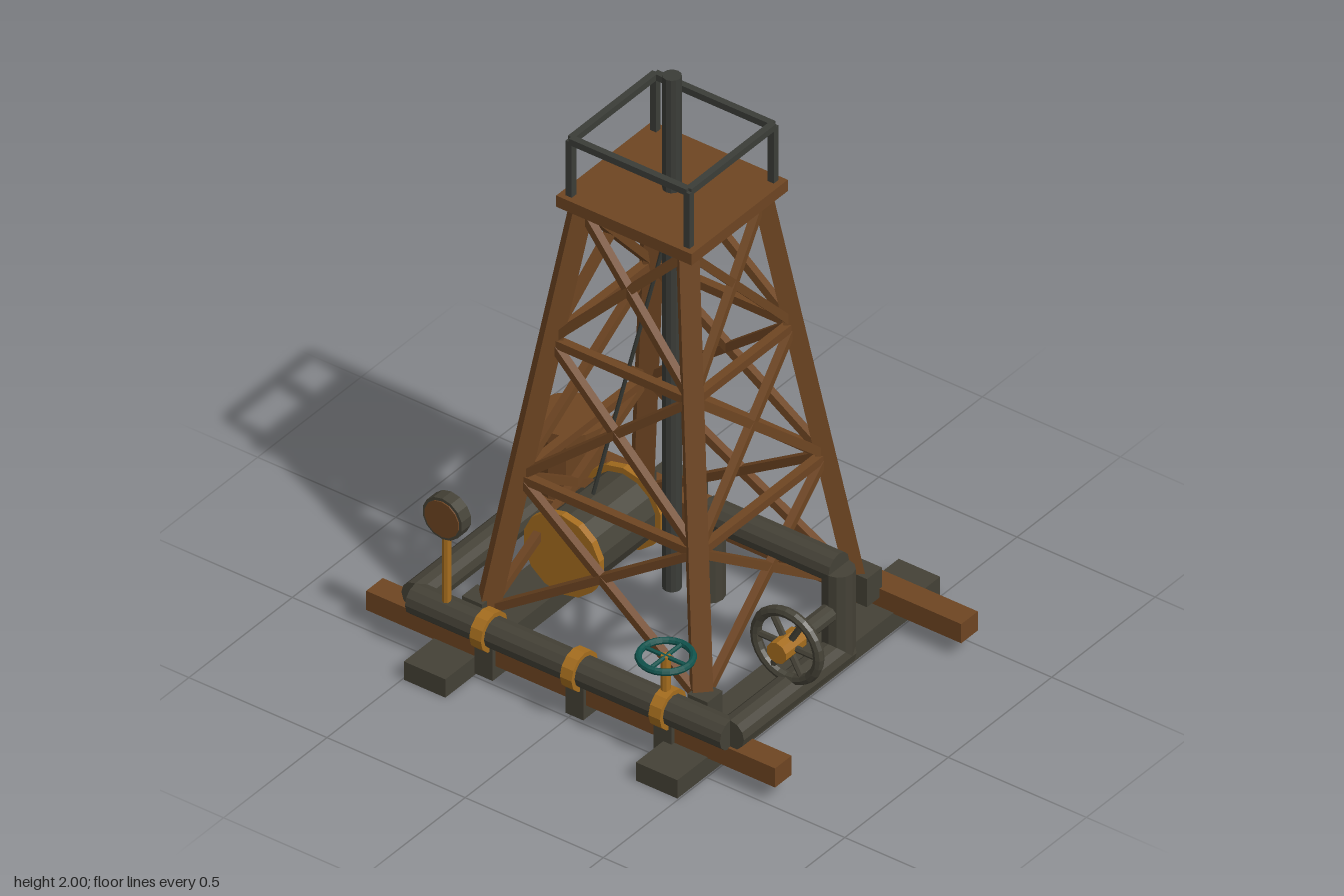
import * as THREE from 'three';

const mat = (name, color) => {
  const m = new THREE.MeshStandardMaterial({ color, flatShading: true });
  m.name = name;
  return m;
};

export function createModel() {
  const wood = mat('wood', 0x6e4522);
  const iron = mat('iron', 0x444136);
  const steel = mat('steel', 0x3b3d38);
  const brass = mat('brass', 0xa56d1e);
  const teal = mat('teal', 0x0f524c);

  const model = new THREE.Group();
  model.name = 'drillingDerrick';
  const V = (x, y, z) => new THREE.Vector3(x, y, z);

  const add = (parent, name, geo, m, x = 0, y = 0, z = 0) => {
    const mesh = new THREE.Mesh(geo, m);
    mesh.name = name;
    mesh.position.set(x, y, z);
    parent.add(mesh);
    return mesh;
  };
  const box = (name, m, w, h, d, x, y, z, parent = model) =>
    add(parent, name, new THREE.BoxGeometry(w, h, d), m, x, y, z);

  // Square timber between two points
  const bar = (name, m, a, b, w, h = w, parent = model) => {
    const mid = a.clone().add(b).multiplyScalar(0.5);
    const mesh = box(name, m, w, h, a.distanceTo(b), mid.x, mid.y, mid.z, parent);
    mesh.lookAt(b);
    return mesh;
  };
  // Round rod or pipe between two points
  const rod = (name, m, a, b, r, sides = 12, parent = model) => {
    const mid = a.clone().add(b).multiplyScalar(0.5);
    const mesh = add(parent, name, new THREE.CylinderGeometry(r, r, a.distanceTo(b), sides), m, mid.x, mid.y, mid.z);
    mesh.quaternion.setFromUnitVectors(V(0, 1, 0), b.clone().sub(a).normalize());
    return mesh;
  };
  // Spoked hand wheel lying in its own xy plane
  const wheel = (name, m, R, r, spokes, spokeR) => {
    const g = new THREE.Group();
    g.name = name;
    add(g, name + 'Rim', new THREE.TorusGeometry(R, r, 8, 24), m);
    for (let i = 0; i < spokes; i++) {
      const t = (i / spokes) * Math.PI * 2;
      rod(name + 'Spoke', m, V(0, 0, 0), V(Math.cos(t) * R, Math.sin(t) * R, 0), spokeR, 6, g);
    }
    model.add(g);
    return g;
  };

  // Ground skids and cross beams
  for (const s of [-1, 1]) {
    box('skid', iron, 0.15, 0.065, 1.27, s * 0.42, 0.0325, 0);
    box('baseBeam', wood, 1.48, 0.068, 0.08, 0, 0.095, s * 0.45);
  }

  // Tower legs taper towards the platform
  const tower = new THREE.Group();
  tower.name = 'tower';
  model.add(tower);
  const corner = (sx, sz, y) => {
    const t = (y - 0.1) / 1.47;
    return V(sx * (0.395 - 0.205 * t), y, sz * (0.38 - 0.202 * t));
  };
  const ring = [[1, 1], [1, -1], [-1, -1], [-1, 1]];
  for (const [sx, sz] of ring) {
    bar('leg', wood, corner(sx, sz, 0.1), corner(sx, sz, 1.57), 0.06, 0.06, tower);
    box('legShoe', iron, 0.073, 0.1, 0.073, sx * 0.408, 0.148, sz * 0.385, tower);
  }

  // Horizontal girts and crossed braces on all four faces
  const levels = [0.15, 0.615, 1.09, 1.55];
  ring.forEach((p, i) => {
    const q = ring[(i + 1) % 4];
    levels.forEach((y, k) => {
      if (k === 1 || k === 2) bar('girt', wood, corner(...p, y), corner(...q, y), 0.028, 0.028, tower);
      if (k < 3) {
        bar('brace', wood, corner(...p, y), corner(...q, levels[k + 1]), 0.026, 0.026, tower);
        bar('brace', wood, corner(...q, y), corner(...p, levels[k + 1]), 0.026, 0.026, tower);
      }
    });
  });

  // Platform with guard rail
  box('platform', wood, 0.49, 0.04, 0.465, 0, 1.58, 0);
  ring.forEach(([sx, sz], i) => {
    const [qx, qz] = ring[(i + 1) % 4];
    box('railPost', steel, 0.022, 0.2, 0.022, sx * 0.213, 1.695, sz * 0.204);
    bar('topRail', steel, V(sx * 0.213, 1.795, sz * 0.204), V(qx * 0.213, 1.795, qz * 0.204), 0.022);
  });

  // Drill string and hoist cable
  rod('drillString', steel, V(0, 0.18, 0), V(0, 2, 0), 0.029, 12);
  rod('hoistCable', steel, V(-0.285, 0.39, 0), V(0, 1.5, 0), 0.006, 6);

  // Pipe run: straight lengths meeting at square corners
  const pipes = [
    [V(-0.57, 0.172, 0.48), V(0.57, 0.172, 0.48)],
    [V(-0.57, 0.172, -0.068), V(-0.57, 0.172, 0.48)],
    [V(0.57, 0.172, -0.065), V(0.57, 0.172, 0.48)],
    [V(0.57, 0.172, -0.045), V(0.57, 0.465, -0.045)],
    [V(0.1, 0.465, -0.045), V(0.57, 0.465, -0.045)],
    [V(0.1, 0.172, -0.045), V(0.1, 0.465, -0.045)],
  ];
  for (const [a, b] of pipes) rod('pipe', iron, a, b, 0.05, 12);

  // Clamps and feet under the front pipe
  for (const x of [-0.305, 0.023, 0.343]) {
    rod('pipeClamp', brass, V(x - 0.021, 0.172, 0.48), V(x + 0.021, 0.172, 0.48), 0.065, 12);
    box('pipeFoot', iron, 0.065, 0.13, 0.07, x, 0.08, 0.468);
  }

  // Pressure gauge
  rod('gaugeStem', brass, V(-0.45, 0.19, 0.488), V(-0.45, 0.47, 0.488), 0.014, 8);
  rod('gaugeBody', iron, V(-0.45, 0.52, 0.465), V(-0.45, 0.52, 0.51), 0.072, 14);
  rod('gaugeFace', wood, V(-0.45, 0.52, 0.508), V(-0.45, 0.52, 0.514), 0.062, 14);

  // Small valve with a flat hand wheel
  rod('valveStem', brass, V(0.337, 0.2, 0.48), V(0.337, 0.355, 0.48), 0.015, 8);
  const valve = wheel('valveWheel', teal, 0.08, 0.011, 4, 0.007);
  valve.position.set(0.337, 0.35, 0.48);
  valve.rotation.x = Math.PI / 2;

  // Large gate wheel on its shaft
  rod('gateShaft', iron, V(0.565, 0.327, -0.045), V(0.565, 0.327, 0.16), 0.03, 10);
  rod('gateHub', brass, V(0.565, 0.327, 0.15), V(0.565, 0.327, 0.25), 0.036, 10);
  const gate = wheel('gateWheel', iron, 0.114, 0.017, 6, 0.011);
  gate.position.set(0.565, 0.327, 0.197);

  // Winch drum with brass flanges
  rod('winchDrum', iron, V(-0.28, 0.265, -0.15), V(-0.28, 0.265, 0.15), 0.12, 14);
  for (const s of [-1, 1])
    rod('drumFlange', brass, V(-0.28, 0.265, s * 0.148 - 0.012), V(-0.28, 0.265, s * 0.148 + 0.012), 0.14, 14);

  // Wooden barrel with end bands
  rod('barrel', wood, V(-0.565, 0.125, -0.262), V(-0.565, 0.4, -0.262), 0.106, 12);
  for (const y of [0.145, 0.385])
    rod('barrelBand', wood, V(-0.565, y - 0.018, -0.262), V(-0.565, y + 0.018, -0.262), 0.113, 12);

  return model;
}
